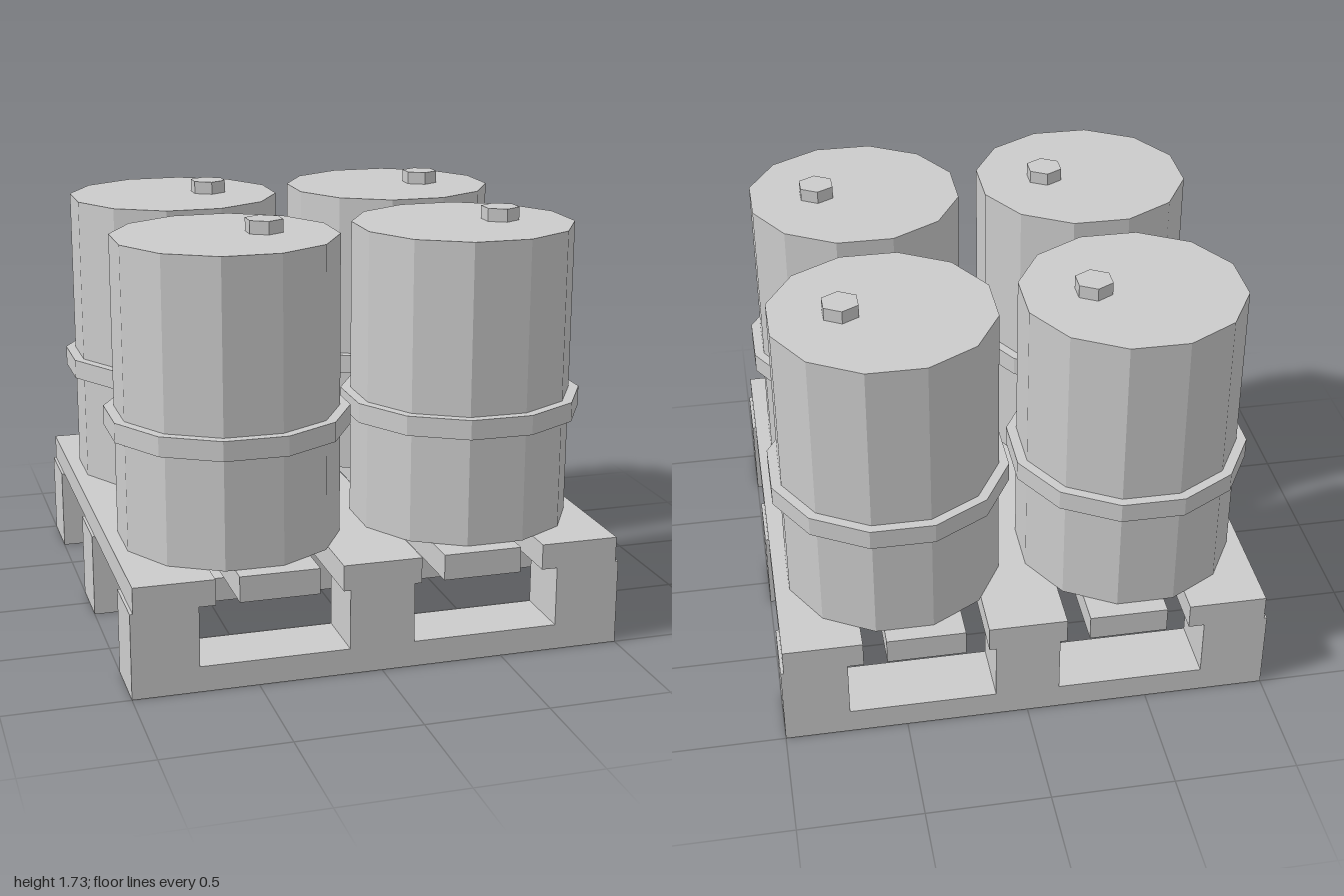
import * as THREE from 'three';

export function createModel() {
  const model = new THREE.Group();
  model.name = 'drumPallet';
  const grey = new THREE.MeshStandardMaterial({ color: 0xcccccc, flatShading: true });
  grey.name = 'plainGrey';

  const add = (parent, name, geometry, x, y, z) => {
    const mesh = new THREE.Mesh(geometry, grey);
    mesh.name = name;
    mesh.position.set(x, y, z);
    parent.add(mesh);
    return mesh;
  };

  // Pallet runners: a bottom board with three upright blocks, cut as one profile
  const pallet = new THREE.Group();
  pallet.name = 'pallet';
  model.add(pallet);
  const low = 0.105, high = 0.35;
  const profile = new THREE.Shape([
    [-1, 0], [1, 0], [1, high], [0.733, high], [0.733, low], [0.132, low], [0.132, high],
    [-0.132, high], [-0.132, low], [-0.733, low], [-0.733, high], [-1, high],
  ].map(([x, y]) => new THREE.Vector2(x, y)));
  const depth = 0.265;
  const runner = new THREE.ExtrudeGeometry(profile, { depth, bevelEnabled: false });
  runner.translate(0, 0, -depth / 2);
  for (const z of [-0.8675, 0, 0.8675]) add(pallet, 'runner', runner, 0, 0, z);

  // Five deck planks running front to back
  const plank = new THREE.BoxGeometry(0.32, 0.105, 2);
  for (let i = -2; i <= 2; i++) add(pallet, 'deckPlank', plank, i * 0.414, 0.4025, 0);

  // Four twelve-sided drums, each with a hoop and an off-centre hexagonal bung
  const sided12 = (apothem, height) => {
    const r = apothem / Math.cos(Math.PI / 12);
    return new THREE.CylinderGeometry(r, r, height, 12).rotateY(Math.PI / 12);
  };
  const body = sided12(0.436, 1.225);
  const hoop = sided12(0.476, 0.08);
  const bung = new THREE.CylinderGeometry(0.078, 0.078, 0.053, 6);
  for (const x of [-0.496, 0.491]) {
    for (const z of [-0.494, 0.494]) {
      const drum = new THREE.Group();
      drum.name = 'drum';
      drum.position.set(x, 0, z);
      add(drum, 'drumBody', body, 0, 1.0675, 0);
      add(drum, 'drumHoop', hoop, 0, 0.948, 0);
      add(drum, 'drumBung', bung, 0.158, 1.7065, 0);
      model.add(drum);
    }
  }
  return model;
}
